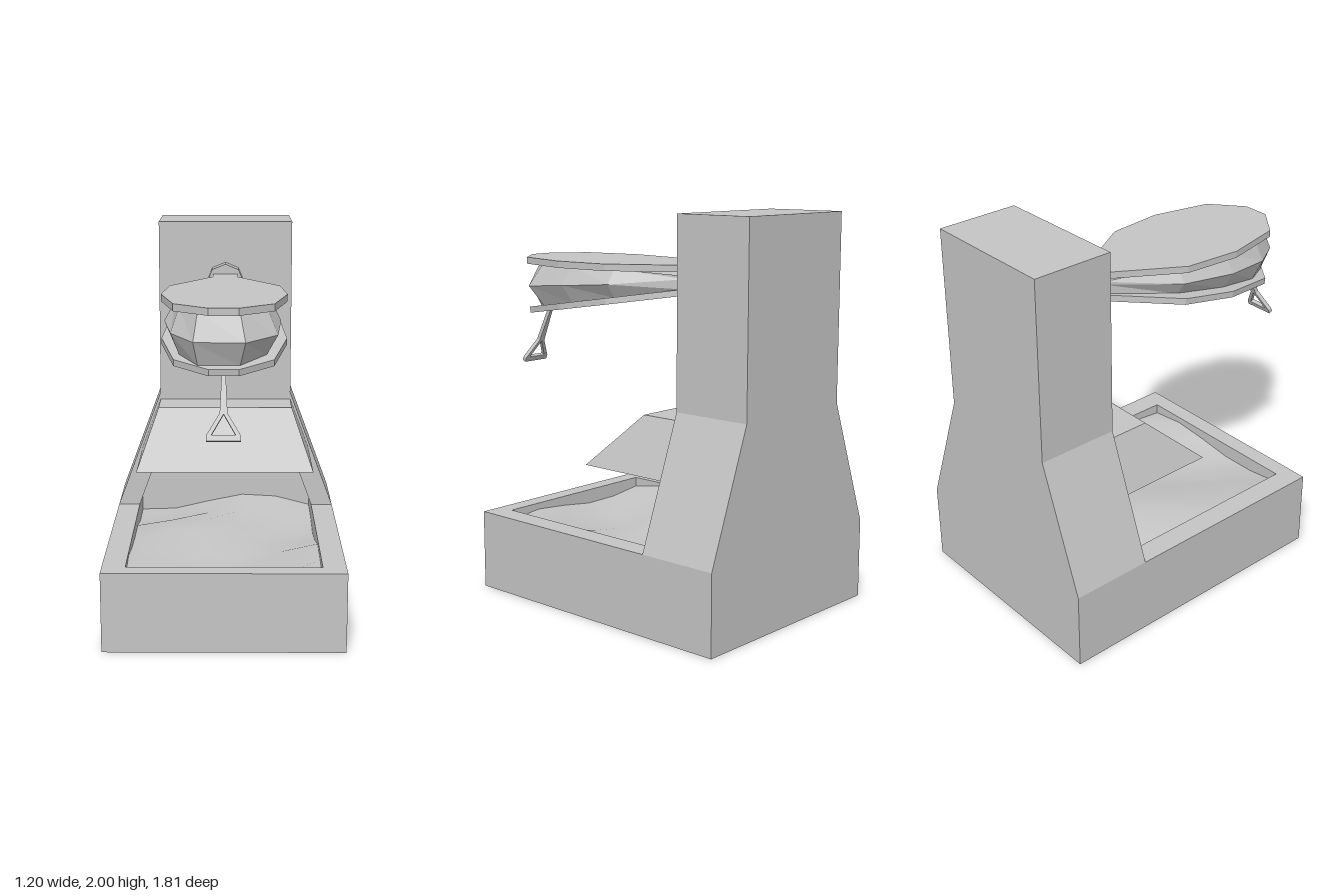
import * as THREE from 'three';

export function createModel() {
  const group = new THREE.Group();
  const grey = new THREE.MeshStandardMaterial({ color: 0xc4c4c4 });
  grey.name = 'plain grey';

  const add = (name, geometry) => {
    const mesh = new THREE.Mesh(geometry, grey);
    mesh.name = name;
    group.add(mesh);
    return mesh;
  };
  const vectors = (points) => points.map(([x, y]) => new THREE.Vector2(x, y));
  // Full outline from its +x half
  const mirrored = (half) => [...half, ...half.map(([x, y]) => [-x, y]).reverse()];
  const extrude = (outline, depth, hole) => {
    const shape = new THREE.Shape(vectors(outline));
    if (hole) shape.holes.push(new THREE.Path(vectors(hole)));
    return new THREE.ExtrudeGeometry(shape, { depth, bevelEnabled: false });
  };
  // Plate drawn in x/z whose top lies on y = 0
  const plate = (outline, depth, hole) => extrude(outline, depth, hole).rotateX(Math.PI / 2);
  const flat = (geometry) => {
    const result = geometry.toNonIndexed();
    result.computeVertexNormals();
    return result;
  };
  // Faceted closed solid through rings of points, listed from top to bottom
  const loft = (rings) => {
    const n = rings[0].length;
    const last = (rings.length - 1) * n;
    const index = [];
    for (let r = 0; r < rings.length - 1; r++) {
      for (let i = 0; i < n; i++) {
        const a = r * n + i, b = r * n + (i + 1) % n;
        index.push(a, b, a + n, b, b + n, a + n);
      }
    }
    for (let i = 1; i < n - 1; i++) {
      index.push(0, i + 1, i, last, last + i, last + i + 1);
    }
    const geometry = new THREE.BufferGeometry();
    geometry.setAttribute('position', new THREE.Float32BufferAttribute(rings.flat(2), 3));
    geometry.setIndex(index);
    return flat(geometry);
  };

  // Hearth: hollow base, floor and coal bed
  const rimY = 0.41, back = -0.905, wallZ = -0.48, nicheZ = -0.72;
  add('hearthWalls', plate(
    mirrored([[0.602, back], [0.602, 0.66]]), rimY,
    mirrored([[0.485, nicheZ], [0.485, 0.57]]),
  )).position.y = rimY;
  add('hearthFloor', new THREE.BoxGeometry(1.0, 0.1, 1.32)).position.set(0, 0.05, -0.075);

  const coal = new THREE.PlaneGeometry(0.97, 1.29, 5, 6).rotateX(-Math.PI / 2);
  const p = coal.attributes.position;
  for (let i = 0; i < p.count; i++) {
    const x = p.getX(i), z = p.getZ(i);
    p.setY(i, 0.02 * Math.cos(9 * z - 4 * x) - 0.035 * Math.sin(6 * x + 4 * z));
  }
  coal.computeVertexNormals();
  add('coalBed', coal).position.set(0, 0.345, -0.075);

  // Chimney: solid back, and a front layer with a tapering fire niche
  const stack = [[0.602, rimY], [0.36, 1.06], [0.36, 2]];
  add('chimneyBack', extrude(mirrored(stack), nicheZ - back)).position.z = back;
  add('chimneyFront', extrude(
    mirrored([[0.341, 0.8], [0.485, rimY], ...stack]), wallZ - nicheZ,
  )).position.z = nicheZ;

  // Sloping hood over the fire
  const hoodRing = (x, y, front) => mirrored([[x, wallZ], [x, front]]).map(([px, z]) => [px, y, z]);
  add('hood', loft([hoodRing(0.36, 1.02, -0.27), hoodRing(0.465, 0.74, 0.03)]));

  // Bellows boards, the lower one hinged at the nozzle
  const board = mirrored([[0.065, -0.4], [0.065, -0.27], [0.278, 0.08],
    [0.305, 0.38], [0.235, 0.69], [0.07, 0.825]]);
  const tilt = 0.153;
  add('upperBoard', plate(board, 0.035)).position.y = 1.73;
  const lower = add('lowerBoard', plate(board.map(([x, z]) => [x, z + 0.4]), 0.032));
  lower.position.set(0, 1.632, -0.405);
  lower.rotation.x = tilt;
  add('bellowsNeck', new THREE.BoxGeometry(0.12, 0.1, 0.16)).position.set(0, 1.655, -0.33);

  // Bellows bag: inset rims and a slightly lopsided bulging fold
  const lowY = (z) => 1.628 - (z + 0.4) * Math.tan(tilt);
  const rim = [[0.05, -0.27], [0.2, 0.08], [0.225, 0.36], [0.2, 0.6], [0.075, 0.75],
    [-0.12, 0.75], [-0.21, 0.6], [-0.235, 0.36], [-0.2, 0.08], [-0.05, -0.27]];
  const fold = [[0.05, -0.27], [0.25, 0.08], [0.275, 0.38], [0.252, 0.66], [0.1, 0.81],
    [-0.14, 0.8], [-0.25, 0.63], [-0.29, 0.38], [-0.25, 0.08], [-0.05, -0.27]];
  add('bellowsBag', loft([
    rim.map(([x, z]) => [x, z < 0 ? 1.675 : 1.7, z]),
    fold.map(([x, z]) => [x, z < 0 ? 1.66 : (1.695 + lowY(z)) / 2, z]),
    rim.map(([x, z]) => [x, lowY(z), z]),
  ]));

  // Octagonal nozzle into the chimney
  add('nozzle', flat(new THREE.CylinderGeometry(0.1, 0.1, 0.1, 8).rotateX(Math.PI / 2)))
    .position.set(0, 1.682, -0.44);

  // Pull handle with a triangular grip
  const handle = add('pullHandle', extrude(
    mirrored([[0.08, -0.32], [0.08, -0.295], [0.018, -0.19], [0.009, 0]]), 0.022,
    [[-0.055, -0.291], [0.055, -0.291], [0, -0.195]],
  ).translate(0, 0, -0.011));
  handle.position.set(0, 1.422, 0.765);
  handle.rotation.x = -0.43;

  return group;
}
